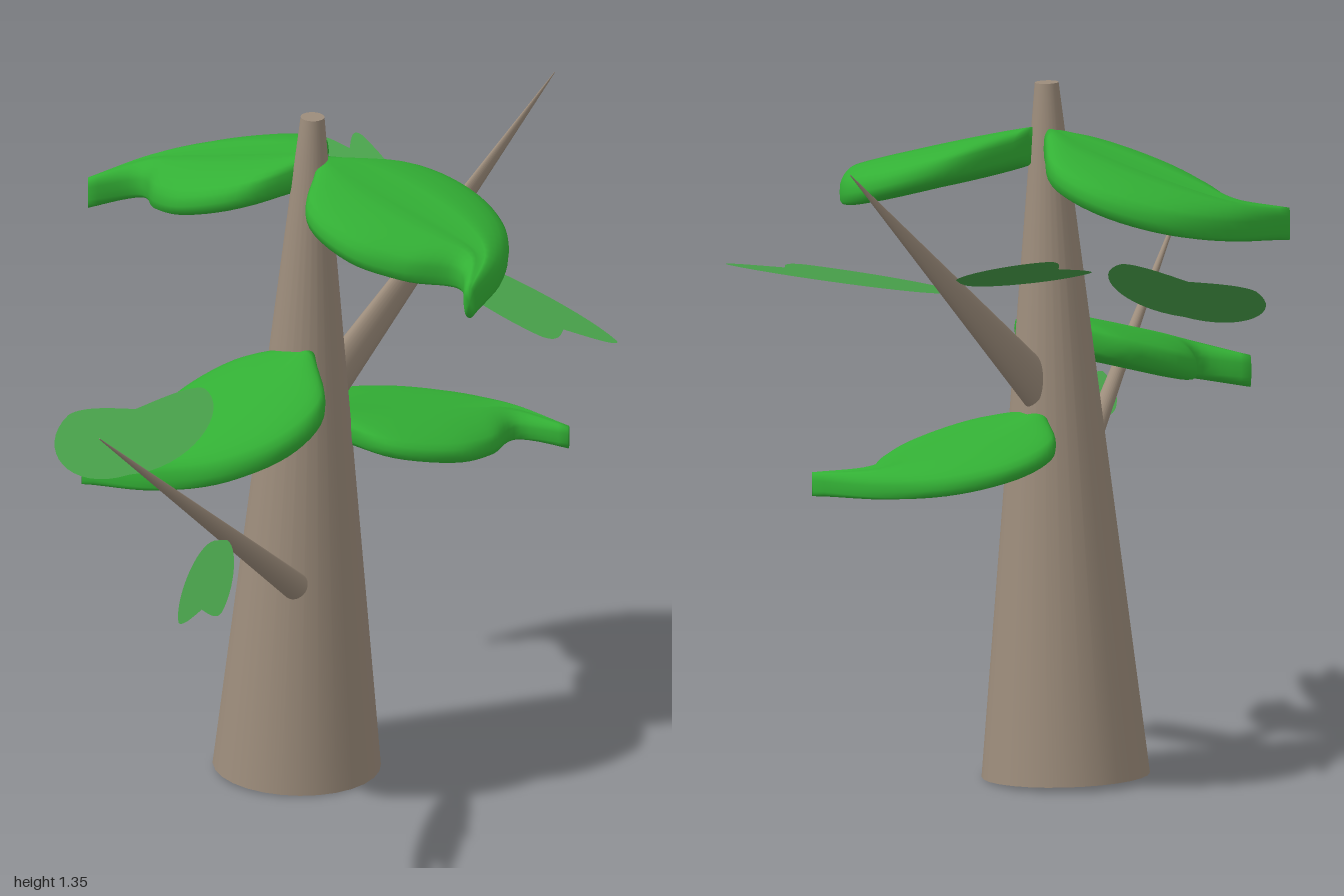
import * as THREE from 'three';

const V = (x, y, z) => new THREE.Vector3(x, y, z);
const bark = new THREE.MeshStandardMaterial({ color: 0x9c8c7b });
const green = new THREE.MeshStandardMaterial({ color: 0x33b035 });
const paleGreen = new THREE.MeshStandardMaterial({ color: 0x469c48, side: THREE.DoubleSide });

// Tapered round limb from a to b; flat squeezes its section in depth
function limb(name, a, b, r0, r1, flat = 1) {
  const dir = b.clone().sub(a);
  const mesh = new THREE.Mesh(new THREE.CylinderGeometry(r1, r0, dir.length(), 28), bark);
  mesh.position.copy(a).add(b).multiplyScalar(0.5);
  mesh.quaternion.setFromUnitVectors(V(0, 1, 0), dir.normalize());
  mesh.scale.z = flat;
  mesh.name = name;
  return mesh;
}

// Edges of the curled leaf, running from the stem to the hooked tip along +z
const edge = pts => new THREE.CatmullRomCurve3(pts.map(([x, z]) => V(x, 0, z)));
const innerEdge = edge([[-0.01, 0], [-0.10, 0.08], [-0.10, 0.2], [-0.04, 0.29], [0.04, 0.36], [-0.012, 0.44]]);
const outerEdge = edge([[0.05, -0.01], [0.21, 0.06], [0.26, 0.16], [0.235, 0.28], [0.14, 0.38], [0.008, 0.45]]);

// Thick puffy leaf: rounded cross-sections with a crease along the top
function curledLeafGeometry(mirror, drop, thickness) {
  const rows = 28, ring = 28, pos = [], idx = [];
  for (let i = 0; i <= rows; i++) {
    const t = i / rows;
    const a = innerEdge.getPoint(t), b = outerEdge.getPoint(t);
    const half = thickness * (0.8 + 0.2 * Math.sin(Math.PI * t) - 0.12 * t);
    for (let j = 0; j < ring; j++) {
      const ang = (j / ring) * Math.PI * 2;
      const w = 0.5 - 0.5 * Math.cos(ang), s = Math.sin(ang);
      const p = a.clone().lerp(b, w);
      const across = 2 * w - 1, body = Math.sin(Math.PI * t);
      const crease = s > 0 ? 0.014 * body * Math.exp(-across * across * 60) : 0;
      const y = -drop * p.z / 0.445 + Math.sign(s) * Math.abs(s) ** 0.6 * half
        - 0.018 * body * across * across - crease;
      pos.push(p.x * mirror, y, p.z);
    }
  }
  const quad = (a, b, c, d) => (mirror > 0
    ? idx.push(a, b, c, a, c, d) : idx.push(a, c, b, a, d, c));
  for (let i = 0; i < rows; i++) {
    for (let j = 0; j < ring; j++) {
      const k = (j + 1) % ring;
      quad(i * ring + j, (i + 1) * ring + j, (i + 1) * ring + k, i * ring + k);
    }
  }
  // Closed ends
  for (const row of [0, rows]) {
    const centre = pos.length / 3, o = row * ring * 3;
    const mid = [0, 1, 2].map(c => (pos[o + c] + pos[o + ring * 1.5 + c]) / 2);
    pos.push(...mid);
    for (let j = 0; j < ring; j++) {
      const p = row * ring + j, q = row * ring + (j + 1) % ring;
      if ((row === 0) === (mirror > 0)) idx.push(centre, p, q);
      else idx.push(centre, q, p);
    }
  }
  const g = new THREE.BufferGeometry();
  g.setAttribute('position', new THREE.Float32BufferAttribute(pos, 3));
  g.setIndex(idx);
  g.computeVertexNormals();
  return g;
}

function curledLeaf(name, base, tipX, tipZ, mirror, drop, thickness) {
  const dx = tipX - base.x, dz = tipZ - base.z;
  const mesh = new THREE.Mesh(curledLeafGeometry(mirror, drop, thickness), green);
  const s = Math.hypot(dx, dz) / 0.445;
  mesh.scale.set(Math.min(s, 1), 1, s);
  mesh.position.copy(base);
  mesh.rotation.y = Math.atan2(dx, dz);
  mesh.name = name;
  return mesh;
}

// Flat two-lobed leaf spanned by its stem point and its two lobe tips
function lobedLeaf(name, base, tipA, tipB) {
  const s = new THREE.Shape();
  s.moveTo(0, 0);
  s.bezierCurveTo(0.4, -0.5, 1.05, -0.42, 1, 0);
  s.bezierCurveTo(0.95, 0.15, 0.6, 0.35, 0.45, 0.45);
  s.bezierCurveTo(0.35, 0.6, 0.15, 0.95, 0, 1);
  s.bezierCurveTo(-0.42, 1.05, -0.5, 0.4, 0, 0);
  const g = new THREE.ShapeGeometry(s, 16);
  const e1 = tipA.clone().sub(base), e2 = tipB.clone().sub(base);
  const n = e1.clone().cross(e2).normalize();
  g.applyMatrix4(new THREE.Matrix4().makeBasis(e1, e2, n).setPosition(base));
  g.computeVertexNormals();
  const mesh = new THREE.Mesh(g, paleGreen);
  mesh.name = name;
  return mesh;
}

export function createModel() {
  const tree = new THREE.Group();
  tree.name = 'tree';

  // Trunk and branches
  tree.add(
    limb('trunk', V(0.337, 0.008, -0.047), V(0.335, 1.355, 0.002), 0.162, 0.023),
    limb('leftBranch', V(0.4, 0.773, -0.028), V(0.985, 1.27, -0.04), 0.046, 0.001, 0.5),
    limb('rightBranch', V(0.23, 0.435, 0.072), V(-0.48, 0.99, 0.32), 0.027, 0.001),
  );

  // Thick curled leaves on the trunk
  tree.add(
    curledLeaf('topBackLeaf', V(0.33, 1.232, -0.02), 0.165, -0.46, -1, 0.125, 0.046),
    curledLeaf('topFrontLeaf', V(0.335, 1.232, 0.02), 0.337, 0.465, 1, 0.125, 0.046),
    curledLeaf('rightLeaf', V(0.3, 0.86, 0), -0.17, -0.09, 1, 0.13, 0.046),
    curledLeaf('leftLeaf', V(0.39, 0.7, 0), 0.835, 0.175, 1, 0.08, 0.034),
  );

  // Thin two-lobed leaves on the branches
  tree.add(
    lobedLeaf('leftBranchFrontLeaf', V(0.66, 0.99, -0.01), V(0.635, 0.978, 0.55), V(0.54, 0.978, 0.43)),
    lobedLeaf('leftBranchBackLeaf', V(0.65, 1.01, -0.045), V(0.72, 1.085, -0.42), V(0.765, 1.105, -0.35)),
    lobedLeaf('rightBranchFrontLeaf', V(-0.05, 0.628, 0.17), V(-0.4, 0.633, 0.46), V(-0.29, 0.625, 0.46)),
    lobedLeaf('rightBranchBackLeaf', V(-0.24, 0.8, 0.13), V(-0.05, 0.93, 0.13), V(-0.24, 0.87, -0.05)),
  );
  return tree;
}
